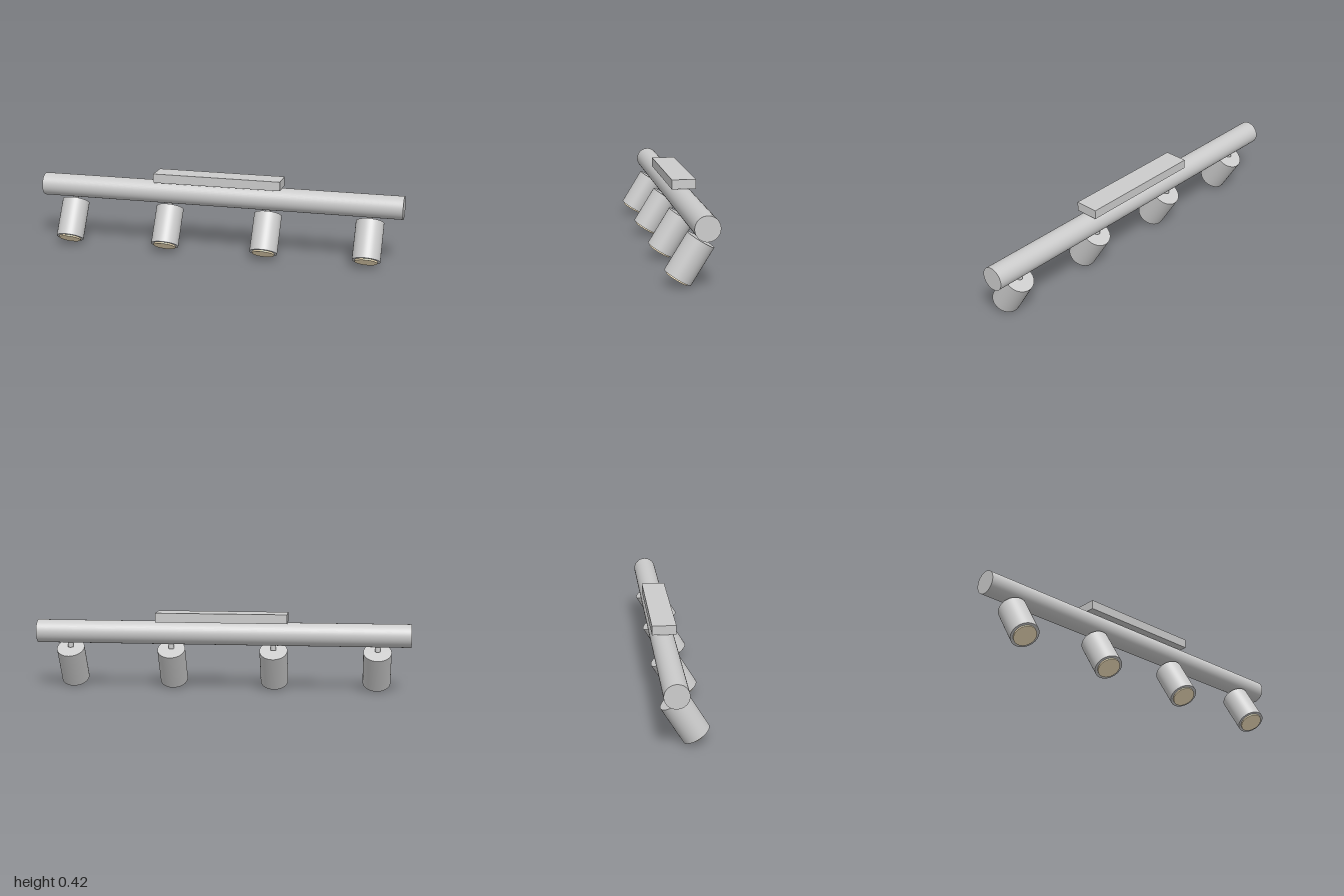
import * as THREE from 'three';

const BAR_Z = -0.055;
const TILT = -0.55;
const LAMP_LENGTH = 0.212;

export function createModel() {
  const model = new THREE.Group();
  model.name = 'ceilingSpotBar';
  const grey = new THREE.MeshStandardMaterial({ color: 0xcccccc });
  const warm = new THREE.MeshStandardMaterial({ color: 0xffedc8 });

  const add = (parent, name, geometry, material, x, y, z) => {
    const mesh = new THREE.Mesh(geometry, material);
    mesh.name = name;
    mesh.position.set(x, y, z);
    parent.add(mesh);
    return mesh;
  };

  // Ceiling plate and the long round bar beneath it
  add(model, 'ceilingPlate', new THREE.BoxGeometry(0.7, 0.049, 0.125), grey, 0, 0.3965, BAR_Z);
  const bar = add(model, 'bar', new THREE.CylinderGeometry(0.062, 0.062, 2, 48), grey, 0, 0.31, BAR_Z);
  bar.rotation.z = Math.PI / 2;

  // Shared lamp geometries
  const stemGeometry = new THREE.CylinderGeometry(0.0145, 0.0145, 0.035, 24);
  const bodyGeometry = new THREE.CylinderGeometry(0.0745, 0.0745, LAMP_LENGTH, 48);
  const lensGeometry = new THREE.CylinderGeometry(0.06, 0.06, 0.016, 48);

  // Four spotlights hanging from the bar, tilted forward
  [-0.825, -0.275, 0.275, 0.825].forEach((x, i) => {
    const spot = new THREE.Group();
    spot.name = `spotlight${i + 1}`;
    spot.position.set(x, 0, BAR_Z);
    add(spot, 'stem', stemGeometry, grey, 0, 0.2405, 0);

    // The head pivots about the centre of its top face
    const head = new THREE.Group();
    head.name = 'head';
    head.position.y = 0.2205;
    head.rotation.x = TILT;
    add(head, 'lampBody', bodyGeometry, grey, 0, -LAMP_LENGTH / 2, 0);
    add(head, 'lens', lensGeometry, warm, 0, -LAMP_LENGTH, 0);
    spot.add(head);
    model.add(spot);
  });

  return model;
}
